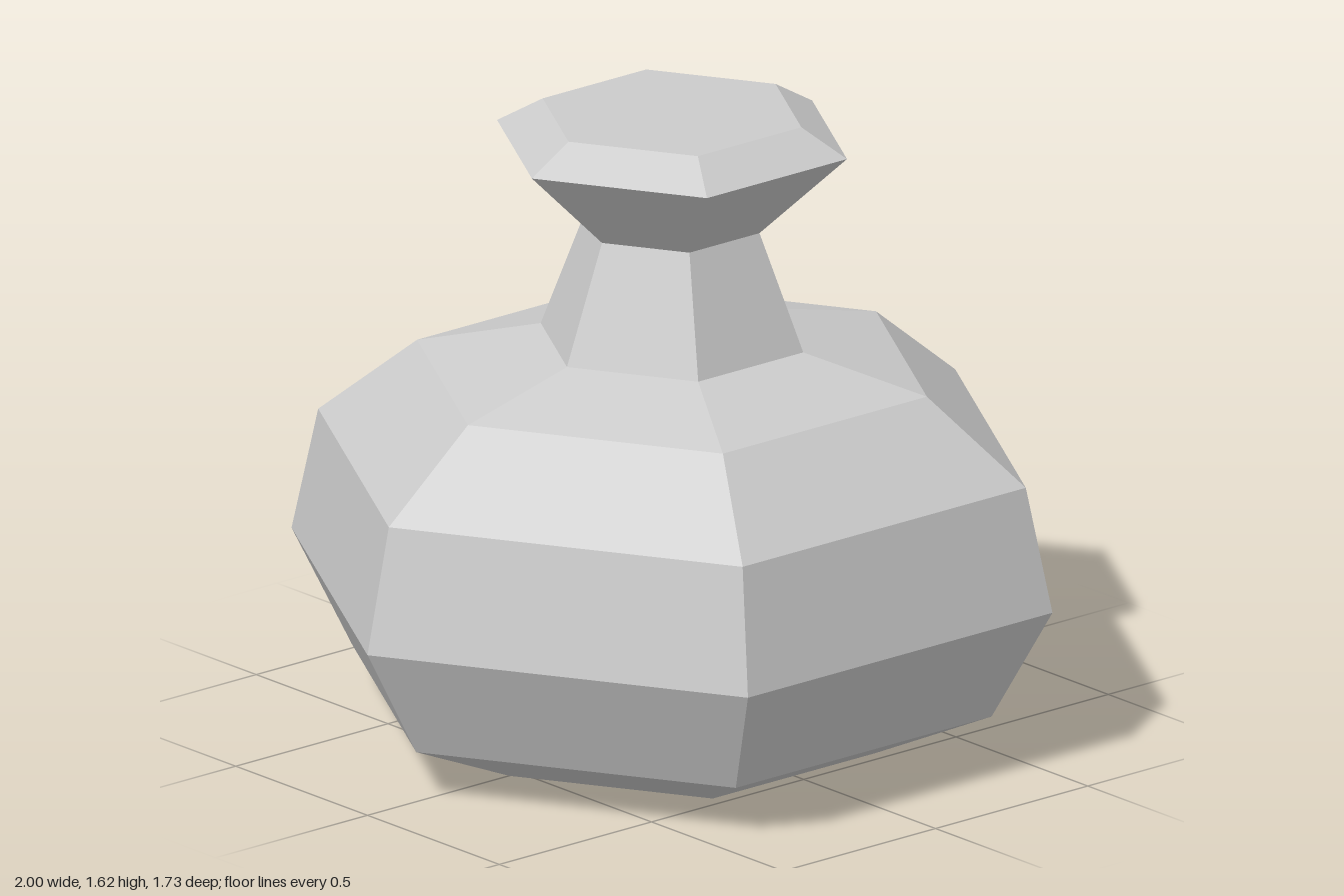
import * as THREE from 'three';

const material = new THREE.MeshStandardMaterial({
  color: 0xcccccc, flatShading: true, side: THREE.DoubleSide,
});

// Six-sided ring of facets from a [radius, height] profile, corners on the x axis
function hexLathe(name, profile) {
  const points = profile.map(([r, y]) => new THREE.Vector2(r, y));
  const mesh = new THREE.Mesh(new THREE.LatheGeometry(points, 6, Math.PI / 2), material);
  mesh.name = name;
  return mesh;
}

export function createModel() {
  const vase = new THREE.Group();
  vase.name = 'vase';
  vase.add(
    // Tapered recess with a small opening under the foot
    hexLathe('baseRecess', [[0.075, 0.07], [0.19, 0]]),
    // Flat foot, wide belly and sloping shoulder
    hexLathe('body', [
      [0.19, 0], [0.535, 0], [0.84, 0.13], [1, 0.42],
      [0.93, 0.74], [0.67, 0.95], [0.345, 1.03],
    ]),
    // Neck narrowing upwards
    hexLathe('neck', [[0.345, 1.03], [0.23, 1.33]]),
    // Flared lip with a bevel and closed flat top
    hexLathe('lip', [[0.23, 1.33], [0.46, 1.55], [0.34, 1.62], [0, 1.62]]),
  );
  return vase;
}
